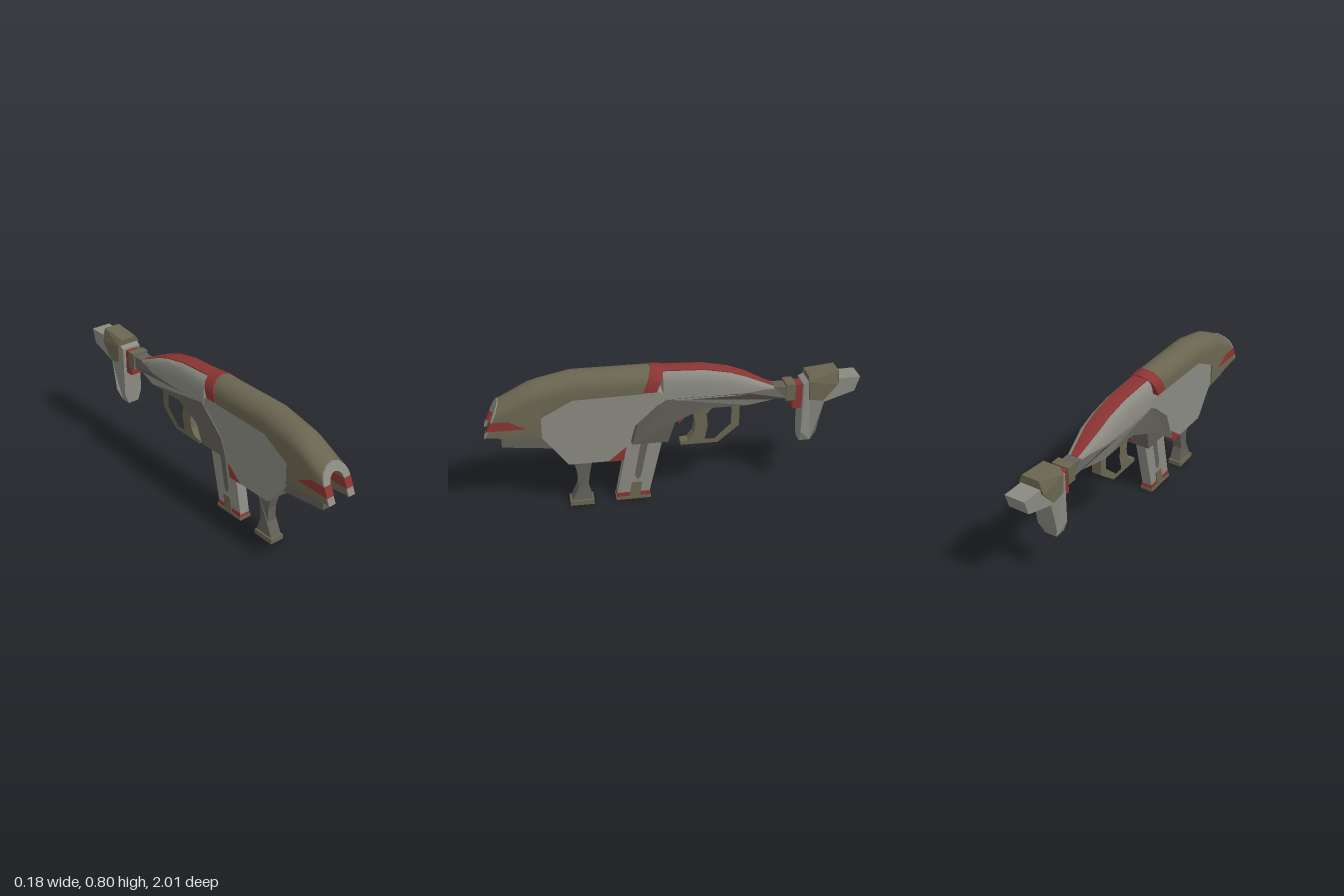
import * as THREE from 'three';
import { toCreasedNormals } from 'three/addons/utils/BufferGeometryUtils.js';

const paint = (color) => new THREE.MeshStandardMaterial({ color });

export function createModel() {
  const model = new THREE.Group();
  const olive = paint(0x6a6550), dark = paint(0x625f59), light = paint(0x8a8a82);
  const red = paint(0x8a3432), black = paint(0x242424);

  function add(name, geometry, material) {
    const mesh = new THREE.Mesh(geometry, material);
    mesh.name = name;
    model.add(mesh);
    return mesh;
  }

  const toPoints = (pts) => pts.map(([a, b]) => new THREE.Vector2(a, b));

  // Side profile given as [z, y], extruded across x from x0 to x1.
  // widthRule(y, z) scales x to taper the part.
  function side(name, material, pts, x0, x1, { hole, widthRule } = {}) {
    const shape = new THREE.Shape(toPoints(pts));
    if (hole) shape.holes.push(new THREE.Path(toPoints(hole)));
    const geo = new THREE.ExtrudeGeometry(shape, { depth: x1 - x0, bevelEnabled: false });
    geo.rotateY(-Math.PI / 2).translate(x1, 0, 0);
    if (widthRule) {
      const p = geo.attributes.position;
      for (let i = 0; i < p.count; i++) p.setX(i, p.getX(i) * widthRule(p.getY(i), p.getZ(i)));
      geo.computeVertexNormals();
    }
    return add(name, geo, material);
  }
  const slab = (name, material, pts, half, options) => side(name, material, pts, -half, half, options);
  function sidePair(name, material, pts, x0, x1) {
    side(name + 'Left', material, pts, x0, x1);
    side(name + 'Right', material, pts, -x1, -x0);
  }

  // Skin closed rings from front to back; ends are closed by pairing each
  // point of the first half of a ring with its partner in the second half.
  function loft(name, material, rings, crease = 0.6) {
    const v = [], n = rings[0].length;
    const tri = (...corners) => corners.forEach((c) => v.push(...c));
    for (let k = 0; k < rings.length - 1; k++) {
      for (let i = 0; i < n; i++) {
        const j = (i + 1) % n, f = rings[k], b = rings[k + 1];
        tri(f[i], b[i], f[j]);
        tri(f[j], b[i], b[j]);
      }
    }
    const front = rings[0], back = rings[rings.length - 1];
    for (let i = 0; i < n / 2 - 1; i++) {
      const p = n - 1 - i, q = p - 1;
      tri(front[i], front[i + 1], front[p]);
      tri(front[i + 1], front[q], front[p]);
      tri(back[i], back[p], back[i + 1]);
      tri(back[i + 1], back[p], back[q]);
    }
    const geo = new THREE.BufferGeometry();
    geo.setAttribute('position', new THREE.Float32BufferAttribute(v, 3));
    geo.computeVertexNormals();
    return add(name, toCreasedNormals(geo, crease), material);
  }

  // Half-arch as [width factor, drop below the apex]; mirrored into an arch.
  const half = [[1, 0.08], [0.95, 0.06], [0.82, 0.037], [0.48, 0.011], [0, 0]];
  const arch = [...half, ...half.slice(0, -1).reverse().map(([x, d]) => [-x, d])];

  // U-shaped ring; slant pushes the lower points forward.
  function archRing([z, top, bottom, slant], w, inner) {
    const at = (x, y) => [x, y, z + slant * (top - y)];
    const line = (width, peak, drop) => [
      at(width, bottom),
      ...arch.map(([x, d]) => at(x * width, Math.max(bottom, peak - d * drop))),
      at(-width, bottom),
    ];
    return [...line(w, top, 1), ...line(inner, top - 0.045, 0.55).reverse()];
  }

  // Hood
  loft('hood', olive, [
    [0.92, 0.665, 0.49, 0.457], [0.76, 0.75, 0.468, 0.2], [0.71, 0.765, 0.46, 0],
    [0.709, 0.765, 0.58, 0], [0.545, 0.8, 0.668, 0], [0.13, 0.8, 0.675, 0.4],
  ].map((s) => archRing(s, 0.085, 0.045)));
  loft('muzzleRim', light, [[0.924, 0.666, 0.488, 0.457], [0.916, 0.666, 0.488, 0.457]]
    .map((s) => archRing(s, 0.0855, 0.044)));
  loft('hoodBand', red, [[0.128, 0.804, 0.68, 0.4], [0.06, 0.796, 0.68, 0.4]]
    .map((s) => archRing(s, 0.088, 0.04)));
  sidePair('muzzleStripe', red, [[0.99, 0.525], [0.967, 0.575], [0.88, 0.575], [0.79, 0.525]], 0.043, 0.0865);

  // Muzzle block with a six-sided bore
  const block = new THREE.Shape(toPoints([[-0.045, 0.465], [0.045, 0.465], [0.045, 0.585],
    [0.025, 0.612], [0, 0.619], [-0.025, 0.612], [-0.045, 0.585]]));
  const hex = Array.from({ length: 6 }, (_, i) => {
    const a = Math.PI / 2 + (i * Math.PI) / 3;
    return [0.041 * Math.cos(a), 0.535 + 0.041 * Math.sin(a)];
  });
  block.holes.push(new THREE.Path(toPoints(hex)));
  add('muzzleBlock', new THREE.ExtrudeGeometry(block, { depth: 0.18, bevelEnabled: false }), red)
    .position.z = 0.7;
  const bore = new THREE.ExtrudeGeometry(new THREE.Shape(toPoints(hex)), { depth: 0.06, bevelEnabled: false });
  add('bore', bore, black).position.z = 0.7;

  // Main body and lower barrel
  slab('body', light, [[0.71, 0.46], [0.71, 0.58], [0.545, 0.67], [0.1, 0.68], [0.03, 0.63],
    [0.1, 0.6], [0.22, 0.49], [0.29, 0.285], [0.58, 0.285]], 0.077);
  slab('bodyCorner', red, [[0.37, 0.284], [0.27, 0.365], [0.288, 0.284]], 0.079);
  slab('lowerBarrel', dark, [[0.92, 0.45], [0.92, 0.4], [0.62, 0.365], [0.62, 0.45]], 0.036);

  // Receiver with its top stripe: [z, top y, half width]
  const spine = [[0.07, 0.782, 0.08], [-0.15, 0.772, 0.08], [-0.29, 0.744, 0.079],
    [-0.38, 0.71, 0.076], [-0.46, 0.67, 0.058], [-0.535, 0.632, 0.04]];
  loft('receiver', light, spine.map(([z, top, w]) => {
    const h = top - 0.62;
    const right = [[1, 0], [1, 0.4], [0.92, 0.7], [0.77, 0.88], [0.53, 0.97]];
    return [...right, ...right.slice().reverse().map(([x, y]) => [-x, y])]
      .map(([x, y]) => [x * w, 0.62 + y * h, z]);
  }));
  loft('topStripe', red, spine.map(([z, top, w]) => [
    [0.54 * w, top - 0.03, z], [0.54 * w, top, z], [0.25 * w, top + 0.004, z],
    [-0.25 * w, top + 0.004, z], [-0.54 * w, top, z], [-0.54 * w, top - 0.03, z],
  ]));

  // Rear frame, narrowing into the stock bar
  slab('frame', dark, [[0.055, 0.63], [-0.38, 0.63], [-0.53, 0.63], [-0.61, 0.63], [-0.61, 0.56],
    [-0.53, 0.56], [-0.38, 0.56], [-0.135, 0.56], [0.01, 0.49], [0.045, 0.37], [0.24, 0.37],
    [0.21, 0.49]], 0.081, {
    widthRule: (y, z) => (z < -0.5 ? 0.48 : y < 0.4 ? 0.85 : 1),
  });

  // Front grip
  slab('frontGrip', dark, [[0.558, 0.3], [0.533, 0.19], [0.533, 0.11], [0.57, 0.03],
    [0.457, 0.03], [0.478, 0.11], [0.468, 0.19], [0.445, 0.3]], 0.034, {
    widthRule: (y) => (y > 0.1 && y < 0.2 ? 0.78 : 1),
  });
  slab('frontGripBase', olive, [[0.58, 0], [0.58, 0.028], [0.45, 0.028], [0.45, 0]], 0.041);

  // Magazine
  slab('magazine', light, [[0.235, 0.49], [0.322, 0.04], [0.145, 0.04], [0.05, 0.45]], 0.03);
  sidePair('magazineGroove', dark, [[0.185, 0.37], [0.223, 0.16], [0.21, 0.125], [0.19, 0.15],
    [0.145, 0.37]], 0.028, 0.0315);
  slab('magazineBand', red, [[0.319, 0.05], [0.325, 0.022], [0.14, 0.022], [0.144, 0.05]], 0.033);
  slab('magazineTab', olive, [[0.24, 0.112], [0.258, 0.015], [0.2, 0.015], [0.185, 0.112]], 0.036);
  slab('magazineBase', olive, [[0.328, 0.008], [0.328, 0.025], [0.138, 0.025], [0.138, 0.008]], 0.037);

  // Trigger grip, guard and trigger
  slab('triggerGuard', olive, [[-0.06, 0.57], [-0.1, 0.5], [-0.11, 0.44], [-0.1, 0.385],
    [-0.07, 0.345], [-0.03, 0.34], [-0.03, 0.32], [-0.235, 0.32], [-0.35, 0.415], [-0.35, 0.57]], 0.028, {
    hole: [[-0.2, 0.532], [-0.17, 0.495], [-0.178, 0.43], [-0.162, 0.345], [-0.215, 0.345],
      [-0.305, 0.43], [-0.305, 0.532]],
  });
  slab('trigger', red, [[-0.01, 0.53], [-0.03, 0.49], [-0.022, 0.44], [-0.045, 0.465],
    [-0.06, 0.53]], 0.012);

  // Stock
  slab('stockCollar', olive, [[-0.598, 0.645], [-0.65, 0.645], [-0.65, 0.55], [-0.598, 0.55]], 0.049);
  slab('stockSpacer', red, [[-0.64, 0.635], [-0.7, 0.635], [-0.7, 0.495], [-0.64, 0.495]], 0.038);
  slab('stock', light, [[-0.69, 0.645], [-0.72, 0.66], [-1, 0.667], [-0.975, 0.585], [-0.81, 0.53],
    [-0.785, 0.415], [-0.775, 0.355], [-0.752, 0.29], [-0.69, 0.29], [-0.69, 0.355]], 0.057, {
    widthRule: (y) => (y < 0.3 ? 0.6 : 1),
  });
  slab('cheekPad', olive, [[-0.717, 0.66], [-0.715, 0.693], [-0.88, 0.71], [-0.88, 0.66],
    [-0.875, 0.635], [-0.8, 0.545], [-0.725, 0.555]], 0.069, {
    widthRule: (y) => (y > 0.68 ? 0.7 : 1),
  });

  return model;
}
